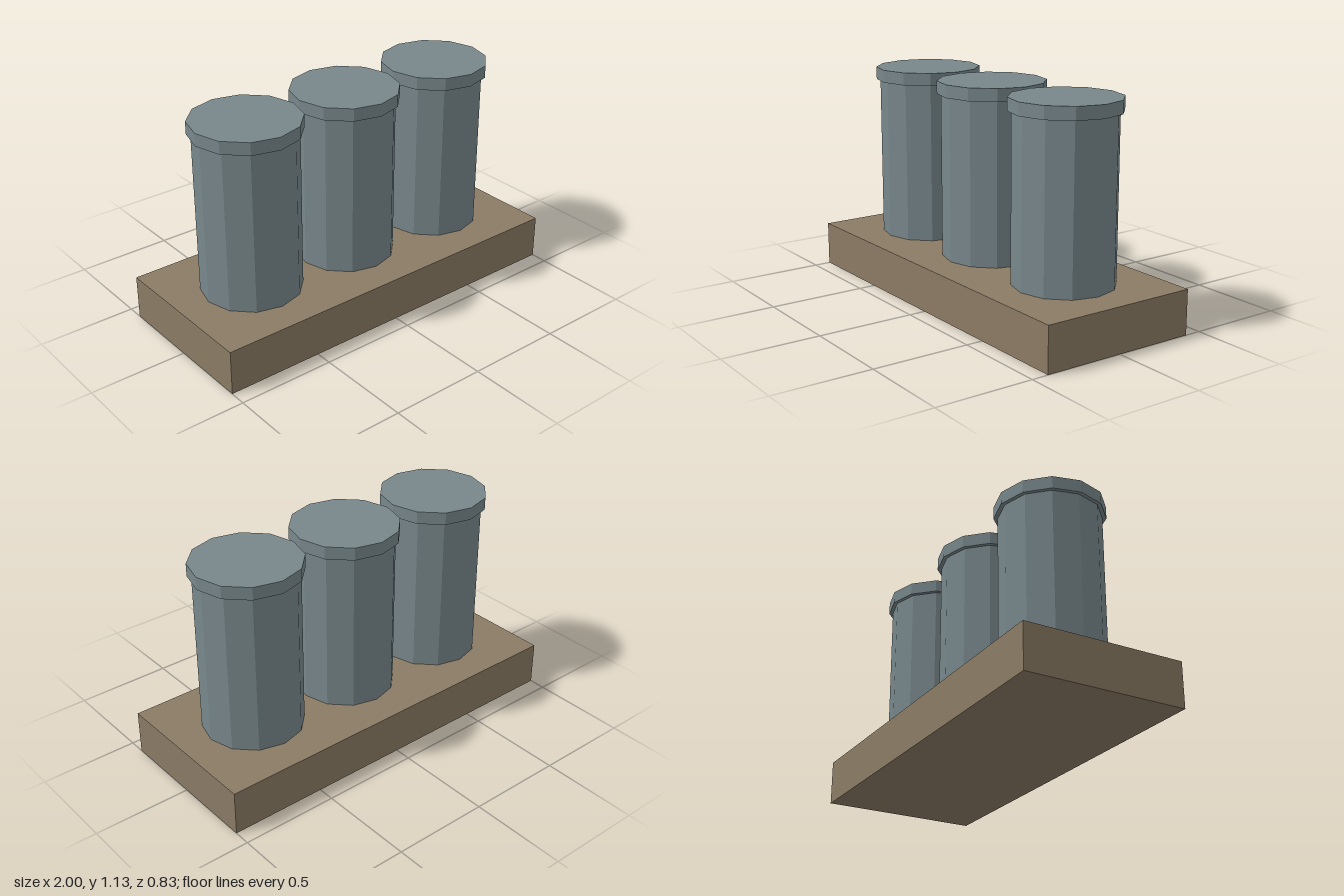
import * as THREE from 'three';

export function createModel() {
  const model = new THREE.Group();
  const wood = new THREE.MeshStandardMaterial({ color: 0x8b7b65, flatShading: true });
  wood.name = 'brown wood';
  const steel = new THREE.MeshStandardMaterial({ color: 0x78878b, flatShading: true });
  steel.name = 'blue-grey steel';

  const add = (parent, name, geometry, material, y) => {
    const mesh = new THREE.Mesh(geometry, material);
    mesh.name = name;
    mesh.position.y = y;
    parent.add(mesh);
  };

  // Rectangular plinth
  add(model, 'base', new THREE.BoxGeometry(2, 0.23, 0.83), wood, 0.115);

  // Three twelve-sided canisters with overhanging lids
  const bodyGeometry = new THREE.CylinderGeometry(0.255, 0.255, 0.835, 12);
  const lidGeometry = new THREE.CylinderGeometry(0.275, 0.275, 0.065, 12);
  ['right', 'middle', 'left'].forEach((side, i) => {
    const canister = new THREE.Group();
    canister.name = `${side}Canister`;
    canister.position.x = (i - 1) * 0.588;
    add(canister, 'body', bodyGeometry, steel, 0.23 + 0.835 / 2);
    add(canister, 'lid', lidGeometry, steel, 1.065 + 0.065 / 2);
    model.add(canister);
  });

  return model;
}
